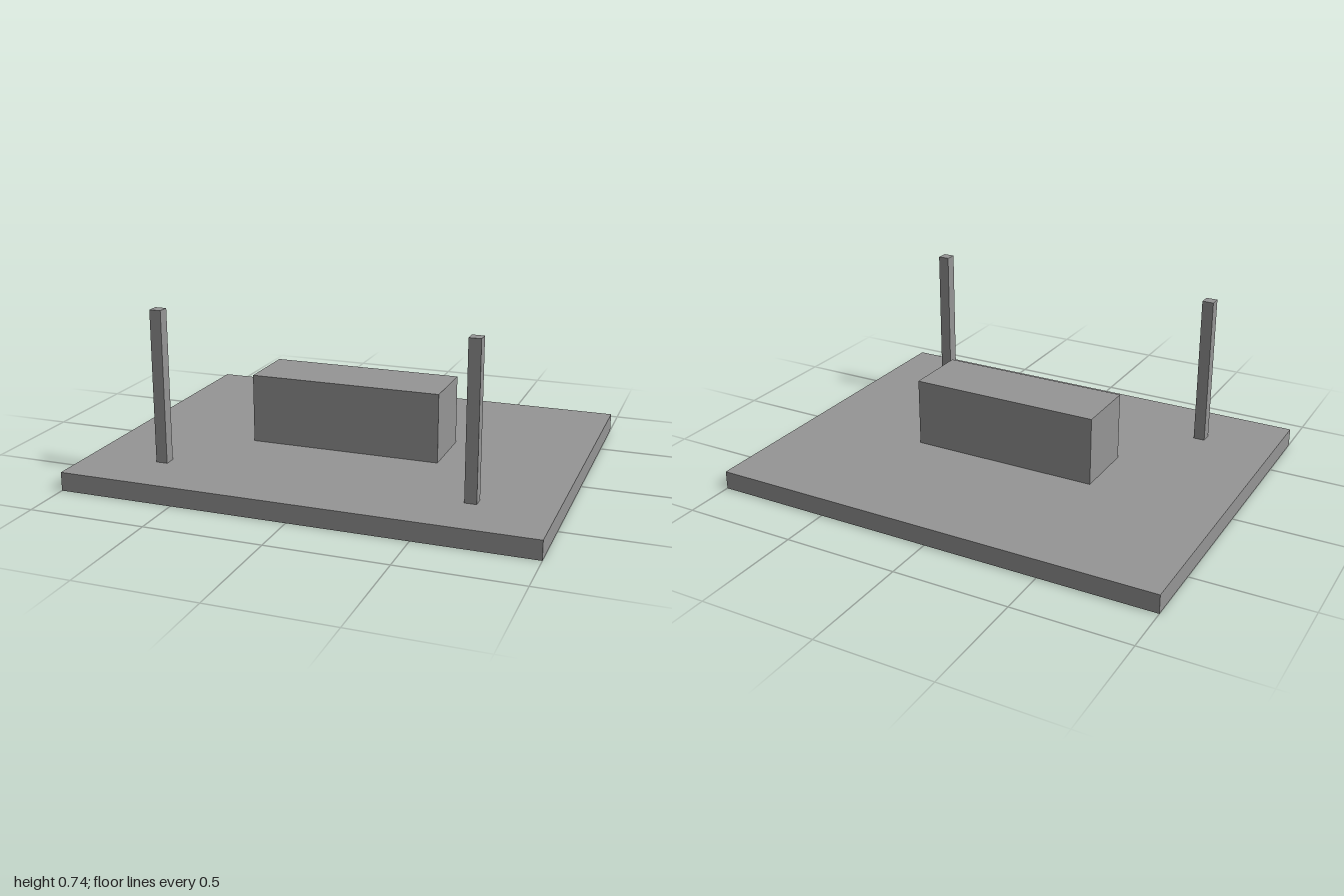
import * as THREE from 'three';

export function createModel() {
  const group = new THREE.Group();
  const grey = new THREE.MeshStandardMaterial({ color: 0x959595 });
  grey.name = 'plain grey';

  // Box given by its size, centre in plan and underside height
  function addBox(name, width, height, depth, x, bottom, z) {
    const mesh = new THREE.Mesh(new THREE.BoxGeometry(width, height, depth), grey);
    mesh.name = name;
    mesh.position.set(x, bottom + height / 2, z);
    group.add(mesh);
  }

  const baseTop = 0.08;

  // Flat slab and the block in its middle
  addBox('baseSlab', 2, baseTop, 1.56, 0, 0, 0);
  addBox('centreBlock', 0.84, 0.3, 0.286, 0, baseTop, 0);

  // Two slim posts near the front corners
  for (const side of [-1, 1]) {
    addBox(side > 0 ? 'leftPost' : 'rightPost', 0.05, 0.655, 0.05, side * 0.667, baseTop, 0.51);
  }

  return group;
}
